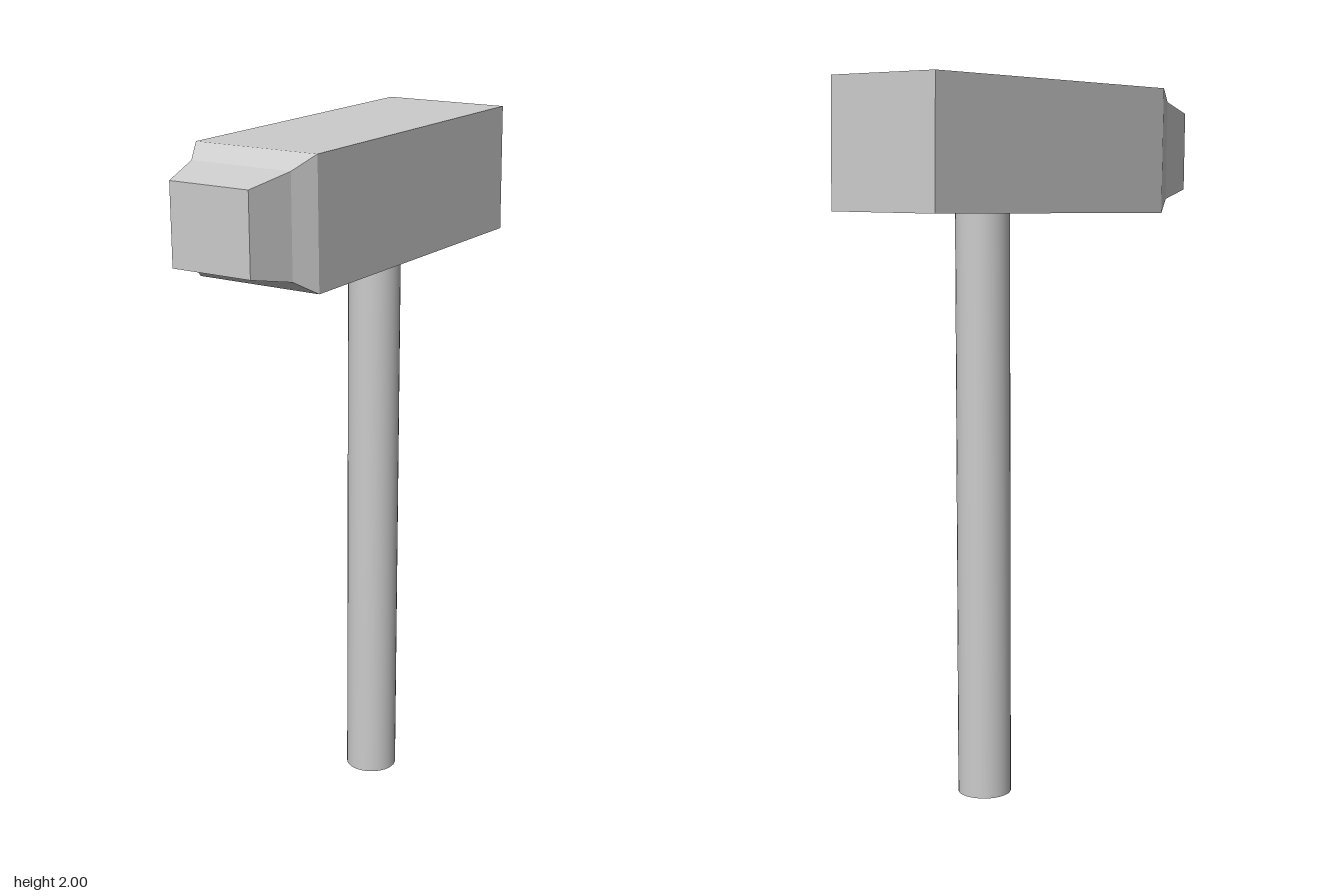
import * as THREE from 'three';

const material = () => new THREE.MeshStandardMaterial({ color: 0xcccccc });

// Loft of rectangular sections, back to front, with hard edges
function loftHead(sections) {
  const positions = [];
  const index = [];
  for (const { half, bottom, top, zBottom, zTop } of sections) {
    positions.push(-half, bottom, zBottom, half, bottom, zBottom, half, top, zTop, -half, top, zTop);
  }
  const quad = (a, b, c, d) => index.push(a, b, c, a, c, d);
  const last = (sections.length - 1) * 4;
  for (let s = 0; s < last; s += 4) {
    for (let i = 0; i < 4; i++) {
      const j = (i + 1) % 4;
      quad(s + i, s + j, s + 4 + j, s + 4 + i);
    }
  }
  quad(3, 2, 1, 0);
  quad(last, last + 1, last + 2, last + 3);

  const indexed = new THREE.BufferGeometry();
  indexed.setAttribute('position', new THREE.Float32BufferAttribute(positions, 3));
  indexed.setIndex(index);
  const geometry = indexed.toNonIndexed();
  geometry.computeVertexNormals();
  return geometry;
}

export function createModel() {
  const model = new THREE.Group();
  model.name = 'hammer';

  // Slightly tilted block with a two-step tapered striking end
  const head = new THREE.Mesh(loftHead([
    { half: 0.19, bottom: 1.645, top: 2.0, zBottom: -0.573, zTop: -0.567 },
    { half: 0.19, bottom: 1.63, top: 1.985, zBottom: 0.37, zTop: 0.376 },
    { half: 0.155, bottom: 1.669, top: 1.948, zBottom: 0.437, zTop: 0.441 },
    { half: 0.122, bottom: 1.695, top: 1.918, zBottom: 0.57, zTop: 0.573 },
  ]), material());
  head.name = 'head';
  model.add(head);

  // Round shaft, set just into the underside of the head
  const height = 1.645;
  const handle = new THREE.Mesh(new THREE.CylinderGeometry(0.075, 0.075, height, 32), material());
  handle.name = 'handle';
  handle.position.set(-0.01, height / 2, -0.2);
  model.add(handle);

  return model;
}
